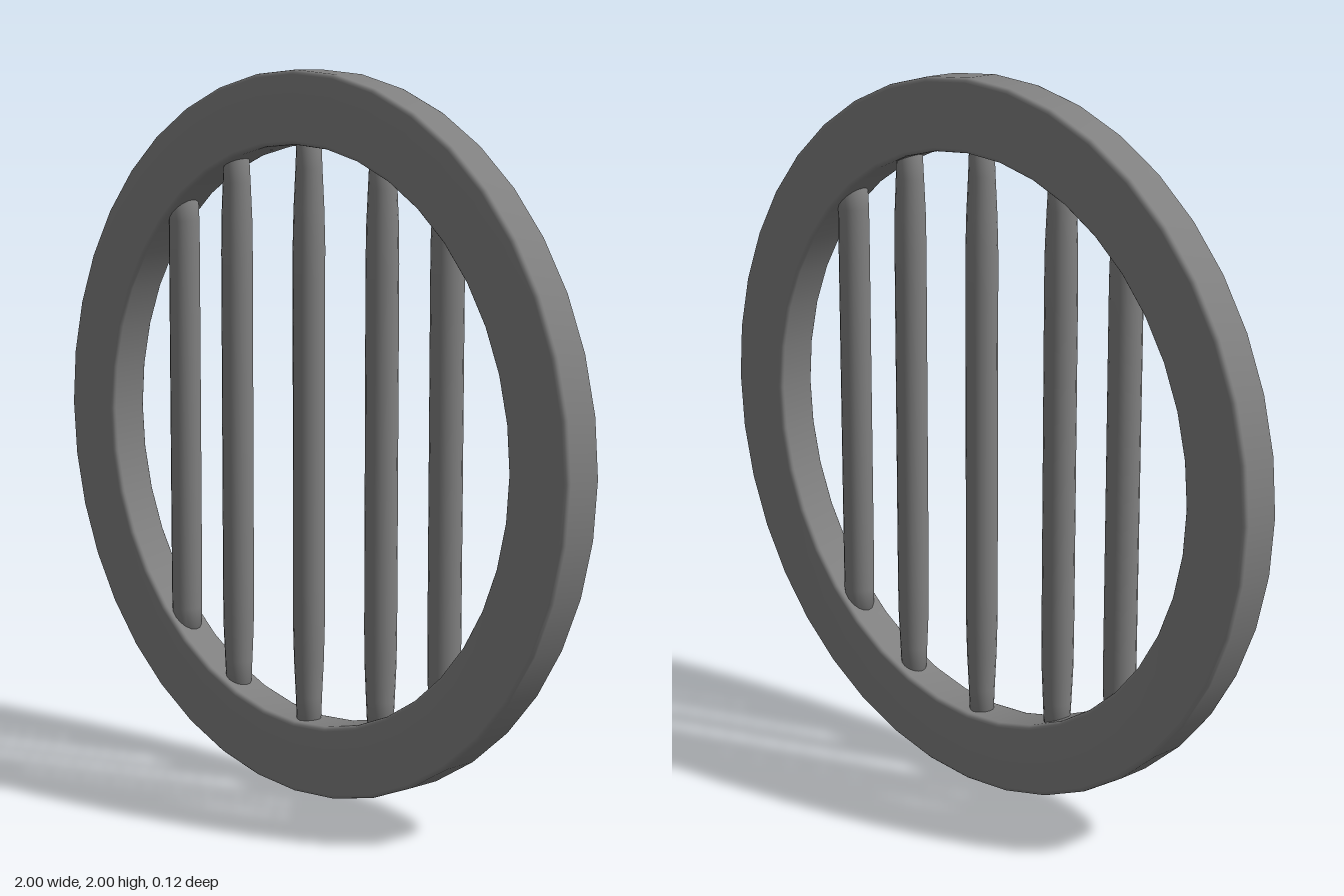
import * as THREE from 'three';

const material = new THREE.MeshStandardMaterial({ color: 0x808080 });

// Closed ring profile (radius, depth) with softly rounded corners
function ringProfile(inner, outer, halfDepth, bevel) {
  const corners = [
    [outer - bevel, -halfDepth + bevel, -Math.PI / 2],
    [outer - bevel, halfDepth - bevel, 0],
    [inner + bevel, halfDepth - bevel, Math.PI / 2],
    [inner + bevel, -halfDepth + bevel, Math.PI],
  ];
  const points = [];
  for (const [r, d, start] of corners) {
    for (let i = 0; i <= 3; i++) {
      const a = start + (i / 3) * (Math.PI / 2);
      points.push(new THREE.Vector2(r + bevel * Math.cos(a), d + bevel * Math.sin(a)));
    }
  }
  points.push(points[0].clone());
  return points;
}

// Bar radius: full through the middle, narrowing towards the far ends
function barRadius(y) {
  const t = THREE.MathUtils.smoothstep(Math.abs(y), 0.52, 0.88);
  return 0.0445 - 0.012 * t;
}

function createBar(x) {
  const half = Math.sqrt(0.84 ** 2 - x * x);
  const steps = 16;
  const points = [new THREE.Vector2(0, -half)];
  for (let i = 0; i <= steps; i++) {
    const y = -half + (2 * half * i) / steps;
    points.push(new THREE.Vector2(barRadius(y), y));
  }
  points.push(new THREE.Vector2(0, half));
  const bar = new THREE.Mesh(new THREE.LatheGeometry(points, 16), material);
  bar.position.set(x, 1, 0);
  return bar;
}

export function createModel() {
  const model = new THREE.Group();
  model.name = 'roundBarredWindow';

  // Round frame standing upright
  const frame = new THREE.Mesh(
    new THREE.LatheGeometry(ringProfile(0.8, 1, 0.06, 0.012), 40), material);
  frame.name = 'frame';
  frame.rotation.x = Math.PI / 2;
  frame.position.y = 1;
  model.add(frame);

  // Five vertical bars
  const bars = new THREE.Group();
  bars.name = 'bars';
  [-0.532, -0.3, 0, 0.287, 0.527].forEach((x, i) => {
    const bar = createBar(x);
    bar.name = `bar${i + 1}`;
    bars.add(bar);
  });
  model.add(bars);

  return model;
}
